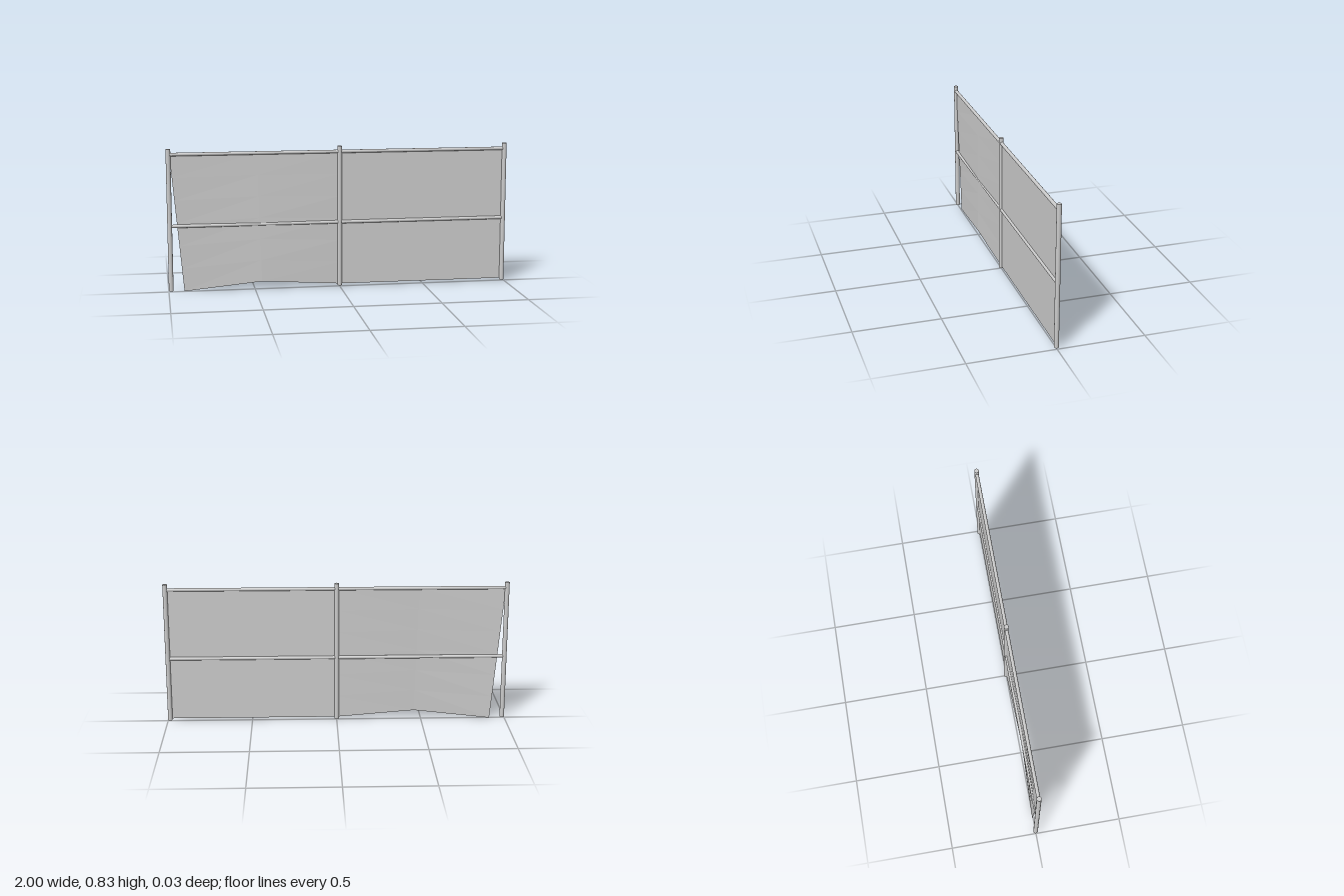
import * as THREE from 'three';

const POST_X = [-0.9865, 0, 0.9865];
const RAIL_Y = [0.8, 0.385];
const material = new THREE.MeshStandardMaterial({ color: 0xcccccc });
const sheetMaterial = new THREE.MeshStandardMaterial({
  color: 0xcccccc, side: THREE.DoubleSide, flatShading: true,
});

function add(parent, name, geometry, mat = material) {
  const mesh = new THREE.Mesh(geometry, mat);
  mesh.name = name;
  parent.add(mesh);
  return mesh;
}

// Thin sheet stretched between a top edge and a bottom edge with matching points
function sheet(top, bottom, rows = 6) {
  const positions = [], index = [], n = top.length;
  for (let r = 0; r <= rows; r++) {
    for (let c = 0; c < n; c++) {
      const p = new THREE.Vector3(...top[c]).lerp(new THREE.Vector3(...bottom[c]), r / rows);
      positions.push(p.x, p.y, p.z);
      if (r < rows && c < n - 1) {
        const a = r * n + c;
        index.push(a, a + n, a + 1, a + 1, a + n, a + n + 1);
      }
    }
  }
  const g = new THREE.BufferGeometry();
  g.setAttribute('position', new THREE.Float32BufferAttribute(positions, 3));
  g.setIndex(index);
  g.computeVertexNormals();
  return g;
}

export function createModel() {
  const fence = new THREE.Group();
  fence.name = 'fence';

  // Upright posts
  for (const x of POST_X) {
    add(fence, 'post', new THREE.CylinderGeometry(0.0135, 0.0135, 0.826, 16))
      .position.set(x, 0.419, 0);
  }

  // Horizontal rails, one per bay at each height
  for (const y of RAIL_Y) {
    for (let i = 0; i < 2; i++) {
      const rail = add(fence, 'rail', new THREE.CylinderGeometry(0.01, 0.01, 0.9865, 12));
      rail.rotation.z = Math.PI / 2;
      rail.position.set((POST_X[i] + POST_X[i + 1]) / 2, y, 0);
    }
  }

  // Intact mesh panel
  add(fence, 'intactPanel', sheet(
    [[0, 0.8, 0], [0.9865, 0.8, 0]],
    [[0, 0.015, 0], [0.9865, 0.015, 0]], 1), sheetMaterial);

  // Loose mesh panel: detached from its post, lifted and bulging at mid span
  add(fence, 'loosePanel', sheet(
    [[-0.98, 0.8, 0], [-0.48, 0.8, 0], [0, 0.8, 0]],
    [[-0.91, 0, -0.005], [-0.46, 0.047, 0.0125], [0, 0.015, 0]]), sheetMaterial);

  return fence;
}
